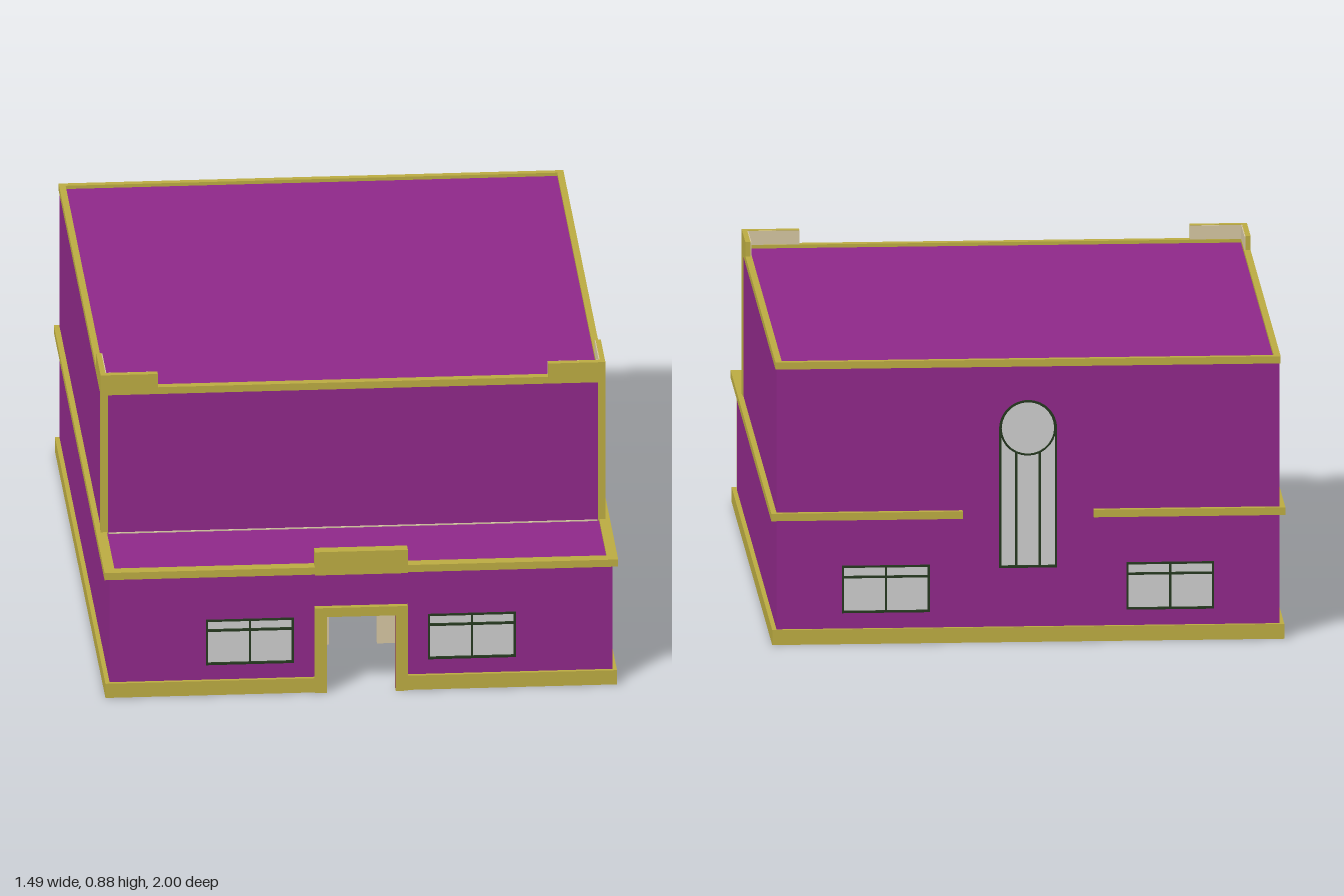
import * as THREE from 'three';

const mat = (color, side = THREE.FrontSide) => new THREE.MeshStandardMaterial({ color, side });
const PURPLE = mat(0x8e2888), OLIVE = mat(0xbaaa41), BEIGE = mat(0xd3c4a0);
const FRAME = mat(0x25381f), GLASS = mat(0xcccccc);

export function createModel() {
  const root = new THREE.Group();

  // Axis-aligned block given by its limits
  const box = (name, m, x0, x1, y0, y1, z0, z1, parent = root) => {
    const mesh = new THREE.Mesh(new THREE.BoxGeometry(x1 - x0, y1 - y0, z1 - z0), m);
    mesh.position.set((x0 + x1) / 2, (y0 + y1) / 2, (z0 + z1) / 2);
    mesh.name = name;
    parent.add(mesh);
    return mesh;
  };
  // Same block on the left and the right
  const pair = (name, m, x0, x1, ...rest) => {
    box(name + 'Left', m, x0, x1, ...rest);
    box(name + 'Right', m, -x1, -x0, ...rest);
  };
  const polygon = (pts, Type = THREE.Shape) => new Type(pts.map(p => new THREE.Vector2(...p)));
  const rect = (x0, x1, y0, y1) => polygon([[x0, y0], [x1, y0], [x1, y1], [x0, y1]], THREE.Path);
  const archPath = (Type, r, y0, ySpring) => {
    const p = new Type();
    p.moveTo(-r, y0);
    p.lineTo(r, y0);
    p.lineTo(r, ySpring);
    p.absarc(0, ySpring, r, 0, Math.PI, false);
    p.closePath();
    return p;
  };
  const extrude = (name, m, shape, z0, z1, parent = root) => {
    const g = new THREE.ExtrudeGeometry(shape, { depth: z1 - z0, bevelEnabled: false, curveSegments: 14 });
    const mesh = new THREE.Mesh(g, m);
    mesh.position.z = z0;
    mesh.name = name;
    parent.add(mesh);
  };
  // Framed window: optional central mullion and transom
  const windowUnit = (name, x0, x1, z, divided) => {
    const g = new THREE.Group(), y0 = 0.09, y1 = 0.23, t = 0.006, d = 0.012;
    g.name = name;
    root.add(g);
    box('glass', GLASS, x0, x1, y0, y1, z - 0.004, z + 0.004, g);
    for (const y of [y0, y1 - t, ...(divided ? [0.193] : [])])
      box('rail', FRAME, x0, x1, y, y + t, z - d, z + d, g);
    for (const x of [x0, x1 - t, ...(divided ? [(x0 + x1 - t) / 2] : [])])
      box('stile', FRAME, x, x + t, y0, y1, z - d, z + d, g);
  };

  // Front wall with doorway and two window openings
  const front = polygon([[-0.73, 0], [-0.1, 0], [-0.1, 0.235], [0.1, 0.235], [0.1, 0], [0.73, 0], [0.73, 0.37], [-0.73, 0.37]]);
  front.holes.push(rect(0.195, 0.45, 0.09, 0.23), rect(-0.45, -0.195, 0.09, 0.23));
  extrude('frontWall', PURPLE, front, 0.97, 0.98);
  extrude('frontWallLining', BEIGE, front, 0.96, 0.97);

  // Back wall with two windows and a tall arched one
  const back = polygon([[-0.73, 0], [0.73, 0], [0.73, 0.82], [-0.73, 0.82]]);
  back.holes.push(rect(0.285, 0.54, 0.09, 0.23), rect(-0.54, -0.285, 0.09, 0.23), archPath(THREE.Path, 0.082, 0.22, 0.63));
  extrude('backWall', PURPLE, back, -0.98, -0.97);
  extrude('backWallLining', BEIGE, back, -0.97, -0.96);

  // Inner partition below the upper front wall
  const inner = polygon([[-0.71, 0.02], [-0.07, 0.02], [-0.07, 0.25], [0.07, 0.25], [0.07, 0.02], [0.71, 0.02], [0.71, 0.385], [-0.71, 0.385]]);
  inner.holes.push(rect(0.285, 0.5, 0.09, 0.23), rect(-0.5, -0.285, 0.09, 0.23));
  extrude('partitionWall', BEIGE, inner, 0.65, 0.665);

  for (const s of [1, -1]) {
    const span = (a, b) => (s > 0 ? [a, b] : [-b, -a]);
    const side = s > 0 ? 'Left' : 'Right';
    windowUnit('frontWindow' + side, ...span(0.195, 0.45), 0.972, true);
    windowUnit('backWindow' + side, ...span(0.285, 0.54), -0.972, true);
    windowUnit('partitionWindow' + side, ...span(0.285, 0.5), 0.657, false);
  }

  // Arched window: glass, outline, round upper light and two mullions
  const arch = new THREE.Group();
  arch.name = 'archedWindow';
  root.add(arch);
  extrude('glass', GLASS, archPath(THREE.Shape, 0.082, 0.22, 0.63), -0.974, -0.968, arch);
  const outline = archPath(THREE.Shape, 0.084, 0.218, 0.63);
  outline.holes.push(archPath(THREE.Path, 0.078, 0.224, 0.63));
  extrude('outline', FRAME, outline, -0.984, -0.958, arch);
  const ring = new THREE.Mesh(new THREE.TorusGeometry(0.079, 0.003, 4, 28), FRAME);
  ring.position.set(0, 0.63, -0.974);
  ring.name = 'roundLight';
  arch.add(ring);
  for (const x of [-0.034, 0.034])
    box('mullion', FRAME, x - 0.003, x + 0.003, 0.22, 0.56, -0.98, -0.962, arch);

  // Side walls in two storeys
  pair('lowerSideWall', PURPLE, 0.72, 0.73, 0, 0.38, -0.98, 0.98);
  pair('lowerSideLining', BEIGE, 0.71, 0.72, 0, 0.38, -0.97, 0.97);
  pair('upperSideWall', PURPLE, 0.72, 0.73, 0.38, 0.82, -0.98, 0.655);
  pair('upperSideLining', BEIGE, 0.71, 0.72, 0.38, 0.82, -0.97, 0.65);
  box('upperFrontWall', PURPLE, -0.72, 0.72, 0.375, 0.82, 0.65, 0.66);
  box('upperFrontLining', BEIGE, -0.72, 0.72, 0.375, 0.82, 0.64, 0.65);

  // Roofs with pale ceilings
  box('mainRoof', PURPLE, -0.72, 0.72, 0.815, 0.825, -0.97, 0.655);
  box('mainCeiling', BEIGE, -0.715, 0.715, 0.808, 0.815, -0.965, 0.65);
  box('frontRoof', PURPLE, -0.72, 0.72, 0.372, 0.382, 0.655, 0.97);
  box('frontCeiling', BEIGE, -0.715, 0.715, 0.364, 0.372, 0.655, 0.965);

  // Plinth, broken by the doorway
  pair('sidePlinth', OLIVE, 0.715, 0.743, 0, 0.044, -0.992, 0.992);
  pair('frontPlinth', OLIVE, 0.13, 0.742, 0, 0.044, 0.965, 0.992);
  box('backPlinth', OLIVE, -0.742, 0.742, 0, 0.044, -0.992, -0.965);

  // Door surround
  const surround = polygon([[-0.135, 0], [-0.1, 0], [-0.1, 0.235], [0.1, 0.235], [0.1, 0], [0.135, 0], [0.135, 0.263], [-0.135, 0.263]]);
  extrude('doorSurround', OLIVE, surround, 0.962, 0.998);

  // Storey band, open at the back around the arched window
  pair('sideBand', OLIVE, 0.715, 0.746, 0.368, 0.39, -0.998, 0.998);
  box('frontBand', OLIVE, -0.744, 0.744, 0.368, 0.39, 0.962, 0.998);
  pair('backBand', OLIVE, 0.19, 0.744, 0.368, 0.39, -0.998, -0.975);
  box('entranceParapet', OLIVE, -0.135, 0.135, 0.366, 0.438, 0.964, 1);

  // Upper roof edging and corner strips
  pair('sideRoofEdge', OLIVE, 0.714, 0.733, 0.814, 0.835, -0.984, 0.668);
  box('frontRoofEdge', OLIVE, -0.73, 0.73, 0.814, 0.835, 0.643, 0.668);
  box('backRoofEdge', OLIVE, -0.73, 0.73, 0.814, 0.835, -0.984, -0.964);
  pair('cornerStrip', OLIVE, 0.712, 0.733, 0.385, 0.83, 0.642, 0.67);

  // Raised corner parapets with pale inner faces
  pair('cornerParapetFront', OLIVE, 0.567, 0.733, 0.83, 0.877, 0.65, 0.67);
  pair('cornerParapetSide', OLIVE, 0.718, 0.733, 0.83, 0.877, 0.49, 0.67);
  pair('parapetLiningFront', BEIGE, 0.567, 0.72, 0.83, 0.876, 0.647, 0.65);
  pair('parapetLiningSide', BEIGE, 0.715, 0.718, 0.83, 0.876, 0.49, 0.655);

  return root;
}
